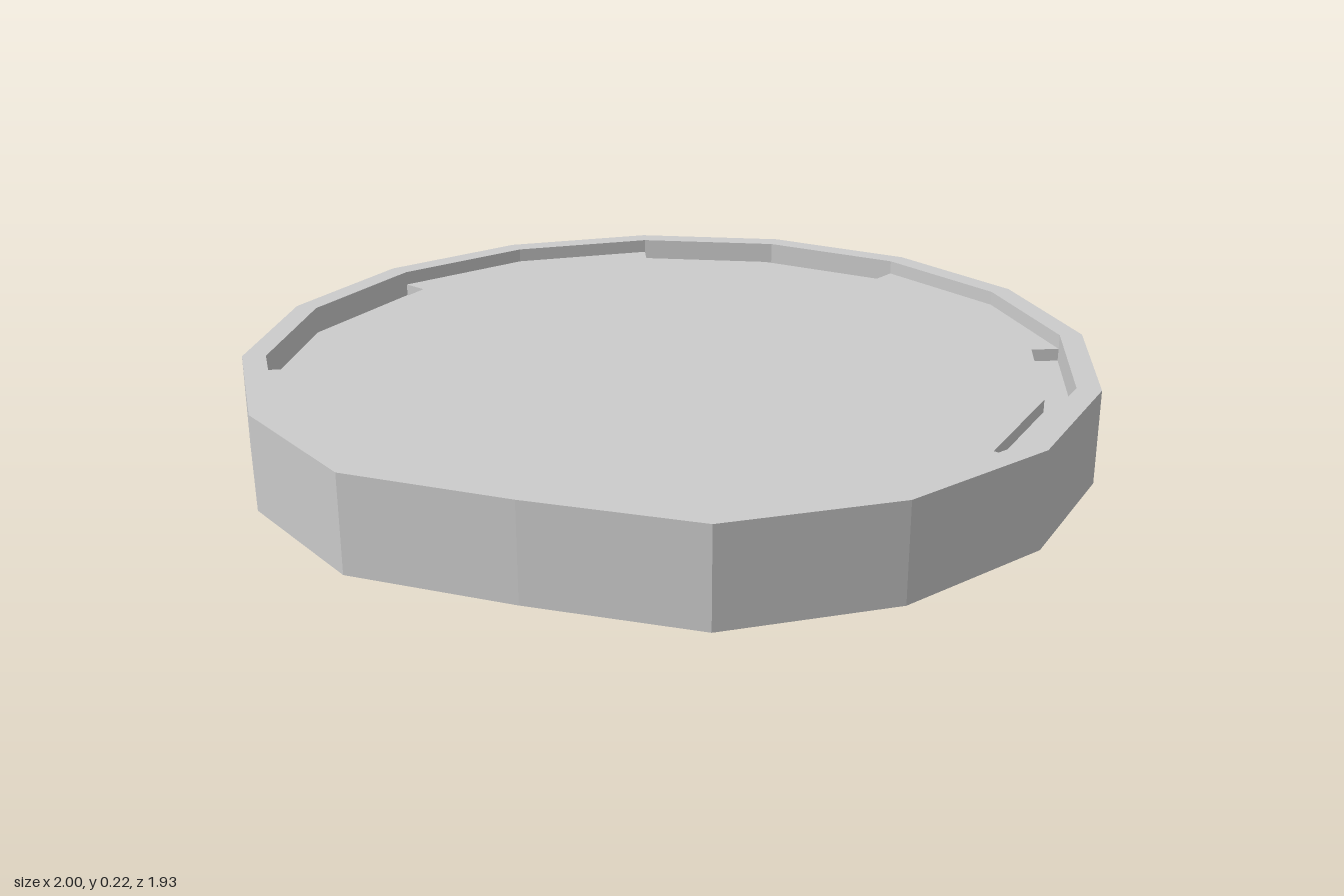
import * as THREE from 'three';

const SIDES = 16, CENTRE_Z = 0.0325;
const R_OUT = 1, R_IN = 0.945, R_SLOT = 0.878;
const Y_TOP = 0.222, Y_FLOOR = 0.187, Y_SLOT = 0.157;

const material = new THREE.MeshStandardMaterial({
  color: 0xcccccc, flatShading: true, side: THREE.DoubleSide,
});

// Corner i of the outline (0 = front, 4 = left, 8 = back, 12 = right);
// the front corner is pushed in.
function corner(i, r, y) {
  const k = ((i % SIDES) + SIDES) % SIDES;
  const a = (k / SIDES) * Math.PI * 2;
  const s = k === 0 ? r * 0.935 : r;
  return [Math.sin(a) * s, y, Math.cos(a) * s + CENTRE_Z];
}

// Run of corners from index i0 to i1
function run(i0, i1, r, y) {
  const pts = [];
  for (let i = i0; i <= i1; i++) pts.push(corner(i, r, y));
  return pts;
}

// Band of flat quads between two runs of points
function band(name, a, b) {
  const pos = [];
  for (let i = 0; i < a.length - 1; i++) {
    pos.push(...a[i], ...a[i + 1], ...b[i + 1], ...a[i], ...b[i + 1], ...b[i]);
  }
  const geo = new THREE.BufferGeometry();
  geo.setAttribute('position', new THREE.Float32BufferAttribute(pos, 3));
  geo.computeVertexNormals();
  const mesh = new THREE.Mesh(geo, material);
  mesh.name = name;
  return mesh;
}

// Sunken slot spanning two sides around corner k
function slot(name, k) {
  const g = new THREE.Group();
  g.name = name;
  const path = (r, y) => run(k - 1, k + 1, r, y);
  g.add(band('slotOuterWall', path(R_IN, Y_FLOOR), path(R_IN, Y_SLOT)));
  g.add(band('slotBottom', path(R_IN, Y_SLOT), path(R_SLOT, Y_SLOT)));
  g.add(band('slotInnerWall', path(R_SLOT, Y_SLOT), path(R_SLOT, Y_FLOOR)));
  const end = (i, r0, r1) => band('slotEnd',
    [corner(i, r0, Y_SLOT), corner(i, r1, Y_SLOT)],
    [corner(i, r0, Y_FLOOR), corner(i, r1, Y_FLOOR)]);
  g.add(end(k - 1, R_IN, R_SLOT), end(k + 1, R_SLOT, R_IN));
  return g;
}

export function createModel() {
  const model = new THREE.Group();
  model.name = 'shallowTray';
  const ring = (r, y) => run(0, SIDES, r, y);

  // Outer wall (open underneath), rim and recess wall
  model.add(band('outerWall', ring(R_OUT, 0), ring(R_OUT, Y_TOP)));
  model.add(band('rim', ring(R_OUT, Y_TOP), ring(R_IN, Y_TOP)));
  model.add(band('recessWall', ring(R_IN, Y_TOP), ring(R_IN, Y_FLOOR)));

  // Floor, notched where the slots drop away
  const slots = { leftSlot: 4, backSlot: 8, rightSlot: 12 };
  const centres = Object.values(slots);
  const outline = [];
  for (let i = 0; i < SIDES; i++) {
    const add = (r) => {
      const [x, , z] = corner(i, r, 0);
      outline.push(new THREE.Vector2(x, -z));
    };
    const starts = centres.includes(i + 1), ends = centres.includes(i - 1);
    if (starts) { add(R_IN); add(R_SLOT); }
    else if (ends) { add(R_SLOT); add(R_IN); }
    else add(centres.includes(i) ? R_SLOT : R_IN);
  }
  const floor = new THREE.Mesh(
    new THREE.ShapeGeometry(new THREE.Shape(outline)).rotateX(-Math.PI / 2), material);
  floor.name = 'floor';
  floor.position.y = Y_FLOOR;
  model.add(floor);

  for (const [name, k] of Object.entries(slots)) model.add(slot(name, k));
  return model;
}
